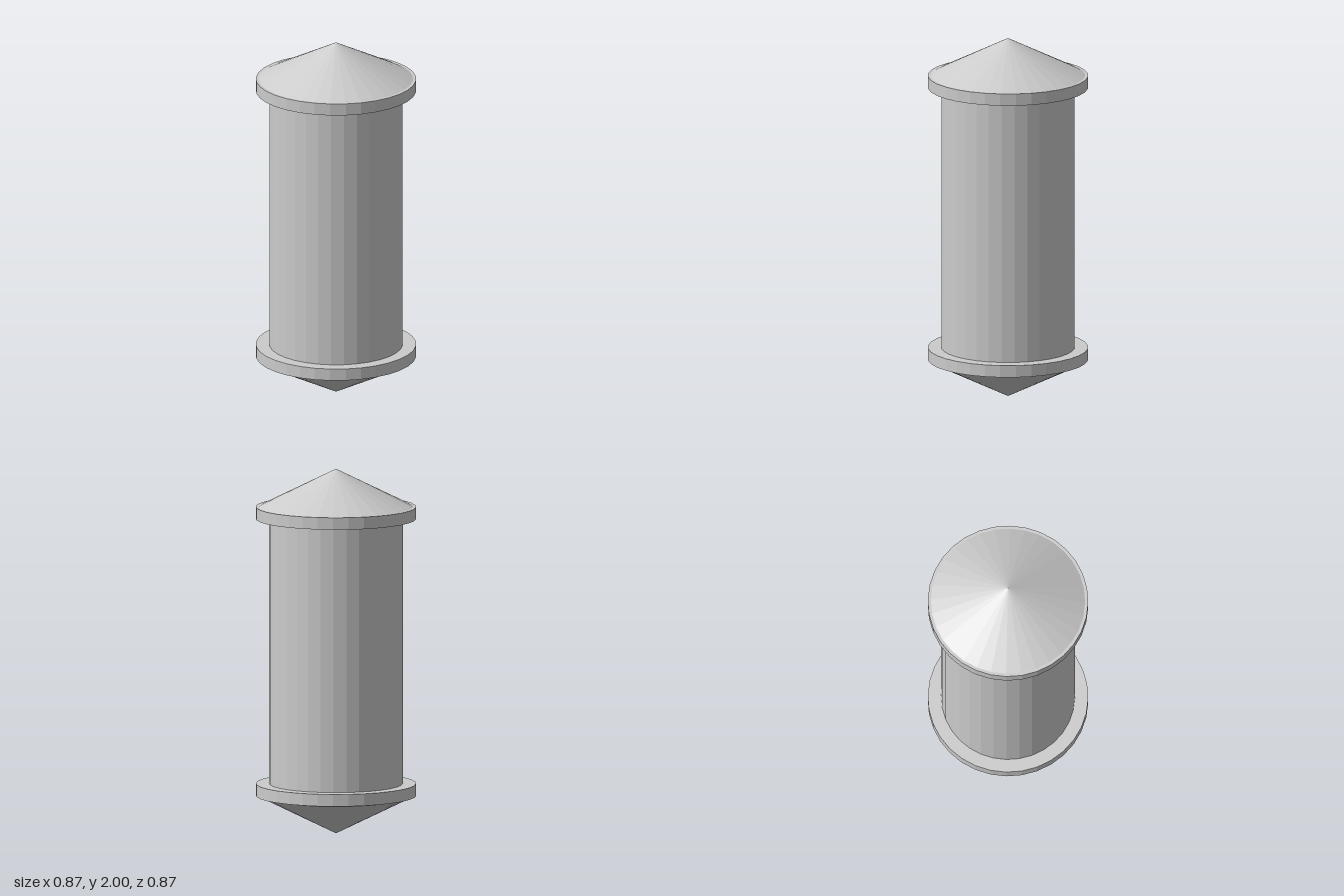
import * as THREE from 'three';

const SIDES = 32;
const BODY_RADIUS = 0.363, RIM_RADIUS = 0.436, CONE_RADIUS = 0.419;
// Heights measured from the middle of the model
const RIM_BOTTOM = 0.726, RIM_TOP = 0.792, TIP = 1;

const material = new THREE.MeshStandardMaterial({ color: 0xcccccc, flatShading: true });

// Faceted round part spanning y0 to y1
function roundPart(name, topRadius, bottomRadius, y0, y1, open = false) {
  const geometry = new THREE.CylinderGeometry(topRadius, bottomRadius, y1 - y0, SIDES, 1, open);
  const mesh = new THREE.Mesh(geometry, material);
  mesh.name = name;
  mesh.position.y = (y0 + y1) / 2;
  return mesh;
}

// Half of the body with its rim and pointed cap
function createHalf(name) {
  const half = new THREE.Group();
  half.name = name;
  half.add(
    roundPart('body', BODY_RADIUS, BODY_RADIUS, 0, RIM_BOTTOM, true),
    roundPart('rim', RIM_RADIUS, RIM_RADIUS, RIM_BOTTOM, RIM_TOP),
    roundPart('coneCap', 0, CONE_RADIUS, RIM_TOP, TIP, true),
  );
  half.position.y = TIP;
  return half;
}

export function createModel() {
  const model = new THREE.Group();
  model.name = 'cappedCylinder';
  const upper = createHalf('upperHalf');
  const lower = createHalf('lowerHalf');
  lower.rotation.x = Math.PI; // same half turned upside down
  model.add(upper, lower);
  return model;
}
